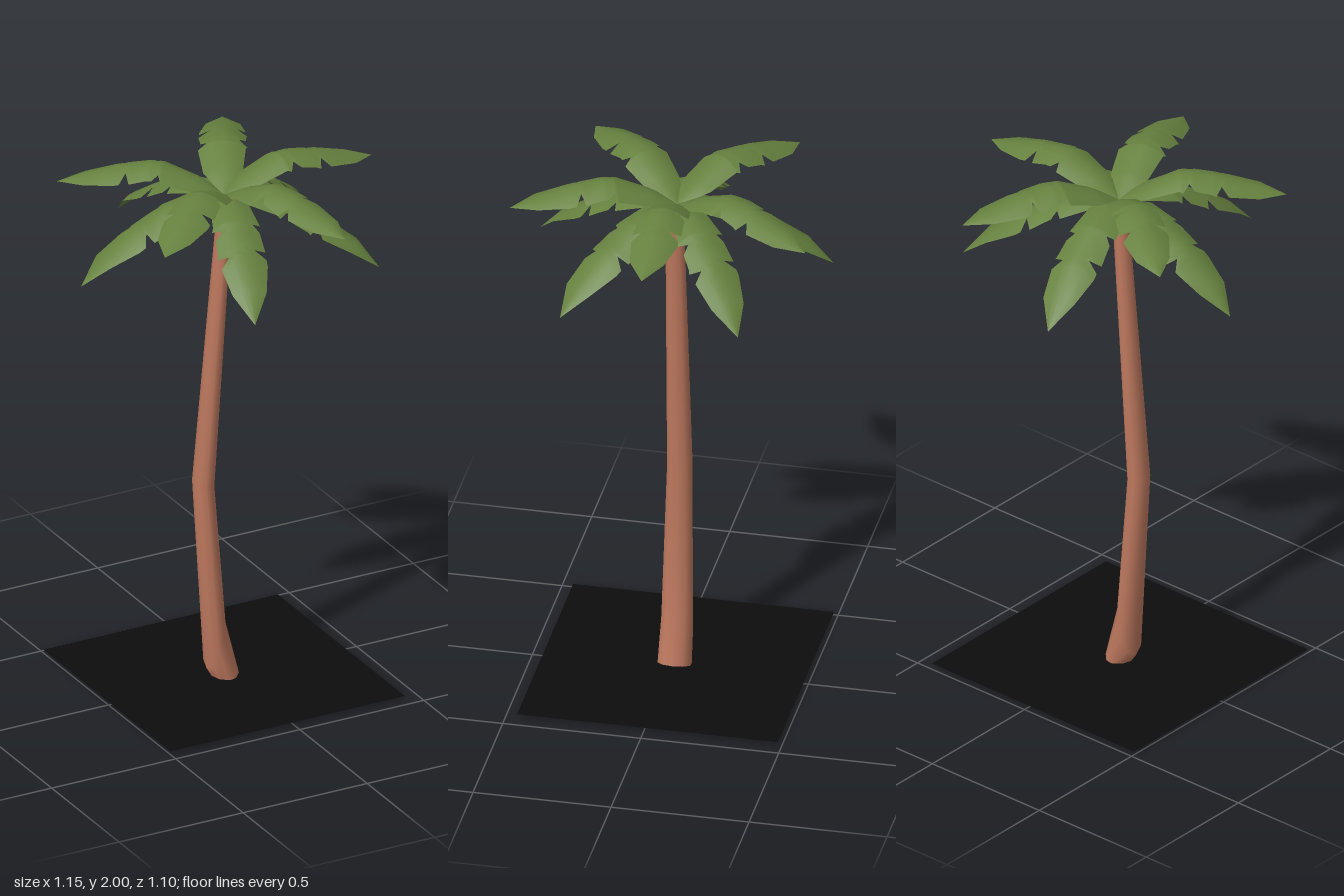
import * as THREE from 'three';

const bark = new THREE.MeshStandardMaterial({ color: 0xbd785e, side: THREE.DoubleSide });
bark.name = 'bark brown';
const green = new THREE.MeshStandardMaterial({ color: 0x66813f, side: THREE.DoubleSide });
green.name = 'leaf green';
const black = new THREE.MeshStandardMaterial({ color: 0x0d0d0d, side: THREE.DoubleSide });
black.name = 'ground black';

// Smooth surface through rows of points; closed joins the last column to the first
function skin(rows, closed) {
  const n = rows[0].length, cols = closed ? n : n - 1, index = [];
  for (let i = 0; i < rows.length - 1; i++) {
    for (let j = 0; j < cols; j++) {
      const a = i * n + j, b = i * n + (j + 1) % n, c = a + n, d = b + n;
      if (closed) index.push(a, c, b, b, c, d);
      else index.push(a, b, c, b, d, c);
    }
  }
  const geo = new THREE.BufferGeometry();
  geo.setAttribute('position', new THREE.Float32BufferAttribute(rows.flat(2), 3));
  geo.setIndex(index);
  geo.computeVertexNormals();
  return geo;
}

// Linear height lookup along a frond
function heightAt(profile, r) {
  let i = 1;
  while (i < profile.length - 1 && profile[i][0] < r) i++;
  const [r0, y0] = profile[i - 1], [r1, y1] = profile[i];
  return y0 + (y1 - y0) * (r - r0) / (r1 - r0);
}

// Frond outline: distance from the crown, width to either side of the midrib
const OUTLINE = [
  [0, 0.005, 0.005], [0.06, 0.048, 0.048], [0.1, 0.072, 0.068], [0.215, 0.09, 0.08],
  [0.228, 0.06, 0.086], [0.25, 0.082, 0.055], [0.27, 0.083, 0.08], [0.33, 0.088, 0.084],
  [0.345, 0.045, 0.088], [0.365, 0.085, 0.05], [0.39, 0.085, 0.082], [0.5, 0.06, 0.063],
  [0.594, 0.001, 0.001],
];
const UPPER = [[0, 1.89], [0.1, 1.95], [0.2, 1.998], [0.28, 2], [0.4, 1.975], [0.5, 1.945], [0.594, 1.91]];
const LOWER = [[0, 1.885], [0.1, 1.912], [0.18, 1.9], [0.34, 1.82], [0.45, 1.755], [0.555, 1.64]];

function frondGeometry(profile) {
  const scale = profile[profile.length - 1][0] / 0.594;
  return skin(OUTLINE.map(([r, left, right]) => {
    const x = r * scale, y = heightAt(profile, x);
    return [-left, -left / 2, 0, right / 2, right].map(z => [x, y - 4.8 * z * z, z]);
  }), false);
}

// Trunk rings: left point, right point, half depth
const RINGS = [
  [-0.07, 0, 0.02, 0.025, 0.062],
  [-0.1, 0.05, -0.035, 0.25, 0.058],
  [-0.15, 0.79, -0.075, 0.77, 0.046],
  [-0.047, 1.89, 0.004, 1.89, 0.033],
];

export function createModel() {
  const group = new THREE.Group();
  group.name = 'palmTree';

  // Flat ground tile
  const ground = new THREE.Mesh(new THREE.PlaneGeometry(0.945, 0.945), black);
  ground.name = 'ground';
  ground.rotation.x = -Math.PI / 2;
  ground.position.set(-0.027, 0.012, -0.013);
  group.add(ground);

  // Bent, tapering trunk
  const sides = 10;
  const rows = RINGS.map(([lx, ly, rx, ry, rz]) => Array.from({ length: sides }, (_, j) => {
    const a = j / sides * Math.PI * 2, t = (1 + Math.cos(a)) / 2;
    return [lx + (rx - lx) * t, ly + (ry - ly) * t, -0.01 + rz * Math.sin(a)];
  }));
  const trunk = new THREE.Mesh(skin(rows, true), bark);
  trunk.name = 'trunk';
  group.add(trunk);

  // Crown: an arching upper tier and a drooping lower tier
  const crown = new THREE.Group();
  crown.name = 'crown';
  crown.position.set(-0.025, 0, -0.018);
  const tiers = [
    ['upperFrond', UPPER, [0, 72, 139, 215, 298]],
    ['lowerFrond', LOWER, [36, 107, 184, 256, 325]],
  ];
  for (const [name, profile, angles] of tiers) {
    const geo = frondGeometry(profile);
    angles.forEach((deg, i) => {
      const frond = new THREE.Mesh(geo, green);
      frond.name = name + (i + 1);
      frond.rotation.y = -THREE.MathUtils.degToRad(deg);
      crown.add(frond);
    });
  }
  group.add(crown);
  return group;
}
